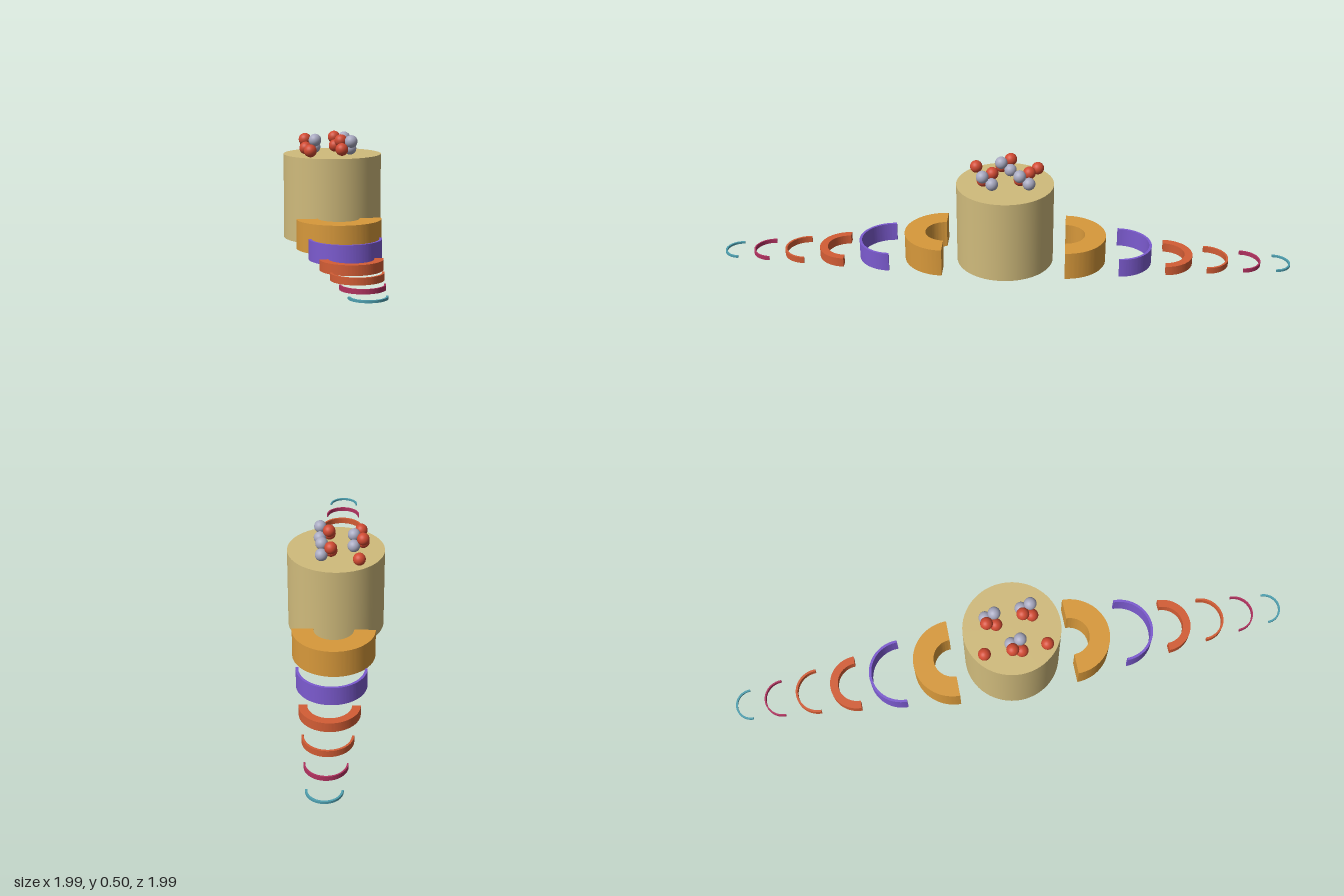
import * as THREE from 'three';
import { toCreasedNormals } from 'three/addons/utils/BufferGeometryUtils.js';

function material(name, color) {
  const m = new THREE.MeshStandardMaterial({ color });
  m.name = name;
  return m;
}

// Half ring lying on the ground, opening toward the centre along the diagonal
function halfRing(centre, outer, inner, height) {
  const a = -Math.PI / 4, b = 3 * Math.PI / 4;
  const shape = new THREE.Shape();
  shape.absarc(centre, centre, outer, a, b, false);
  shape.absarc(centre, centre, inner, b, a, true);
  shape.closePath();
  const geo = new THREE.ExtrudeGeometry(shape, { depth: height, bevelEnabled: false, curveSegments: 40 });
  geo.rotateX(-Math.PI / 2);
  return toCreasedNormals(geo, 0.6);
}

export function createModel() {
  const group = new THREE.Group();
  group.name = 'model';
  const tan = material('tan', 0xd0bb7c);
  const amber = material('amber', 0xd8993b);
  const purple = material('purple', 0x7c5bd0);
  const rust = material('rust', 0xd35d35);
  const crimson = material('crimson', 0xb23260);
  const teal = material('teal', 0x4fa0b0);
  const red = material('red', 0xd04a32);
  const grey = material('grey', 0xa8a9c0);

  const add = (geo, mat, name, x = 0, y = 0, z = 0) => {
    const mesh = new THREE.Mesh(geo, mat);
    mesh.name = name;
    mesh.position.set(x, y, z);
    group.add(mesh);
    return mesh;
  };

  // Central drum
  add(new THREE.CylinderGeometry(0.232, 0.232, 0.4, 64), tan, 'drum', 0, 0.2, 0);

  // Half rings shrinking outward on both sides: centre, outer, inner, height
  const rings = [
    ['amberRing', amber, 0.206, 0.195, 0.095, 0.135],
    ['purpleRing', purple, 0.387, 0.161, 0.149, 0.09],
    ['thickRustRing', rust, 0.545, 0.135, 0.097, 0.045],
    ['thinRustRing', rust, 0.684, 0.111, 0.101, 0.03],
    ['crimsonRing', crimson, 0.807, 0.092, 0.085, 0.02],
    ['tealRing', teal, 0.919, 0.077, 0.068, 0.01],
  ];
  for (const [name, mat, c, outer, inner, h] of rings) {
    const geo = halfRing(c, outer, inner, h);
    add(geo, mat, name + 'Back');
    add(geo, mat, name + 'Front').rotation.y = Math.PI;
  }

  // Four-ball clusters on the drum: lower pair along x, upper pair along z
  const ball = new THREE.SphereGeometry(0.03, 24, 16);
  const low = 0.43, high = 0.467, d = 0.031;
  for (const [x, z] of [[-0.076, -0.075], [0.096, -0.036], [-0.017, 0.097]]) {
    add(ball, red, 'redBall', x - d, low, z);
    add(ball, grey, 'greyBall', x + d, low, z);
    add(ball, red, 'redBall', x, high, z - d);
    add(ball, grey, 'greyBall', x, high, z + d);
  }

  // Loose balls
  add(ball, red, 'looseBall', 0.027, low, -0.187);
  add(ball, red, 'looseBall', -0.186, low, 0.02);
  return group;
}
